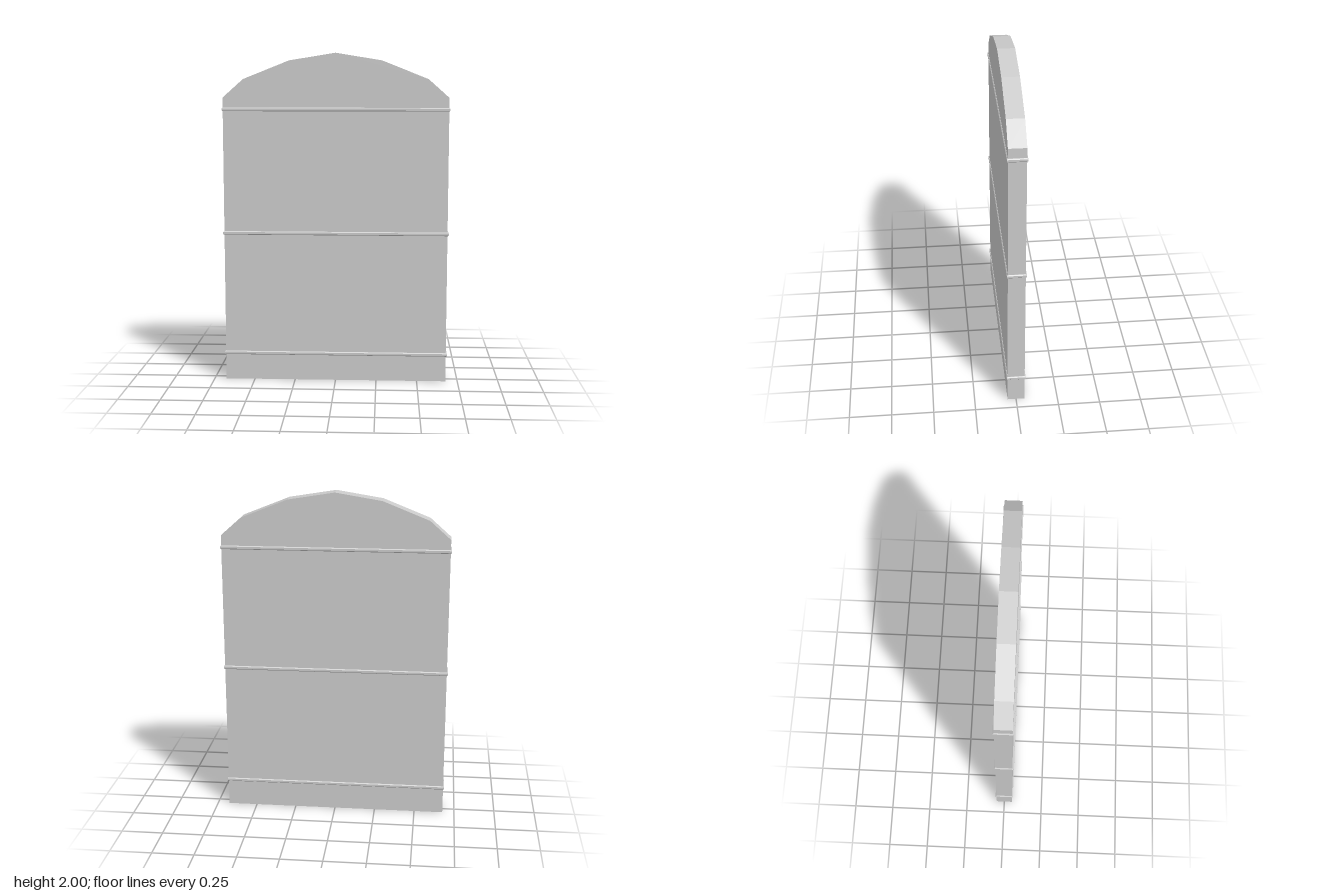
import * as THREE from 'three';

const material = new THREE.MeshStandardMaterial({ color: 0xcccccc, flatShading: true });

// Extrude an outline and centre it along its depth
function slab(points, options) {
  const shape = new THREE.Shape(points.map(([x, y]) => new THREE.Vector2(x, y)));
  const { depth } = options;
  return new THREE.ExtrudeGeometry(shape, { bevelEnabled: false, ...options }).translate(0, 0, -depth / 2);
}

export function createModel() {
  const group = new THREE.Group();
  group.name = 'archedPanel';

  // Flat panel with a faceted arched top
  const half = [[0.677, 0], [0.677, 1.735], [0.553, 1.845], [0.277, 1.955]];
  const mirrored = half.map(([x, y]) => [-x, y]).reverse();
  const panel = new THREE.Mesh(slab([...half, [0, 2], ...mirrored], { depth: 0.102 }), material);
  panel.name = 'panel';
  group.add(panel);

  // Thin chamfered bands wrapped around the panel
  const w = 0.679, d = 0.052;
  const bandGeometry = slab([[-w, -d], [w, -d], [w, d], [-w, d]], {
    depth: 0.012, bevelEnabled: true, bevelSegments: 1, bevelSize: 0.005, bevelThickness: 0.005,
  }).rotateX(Math.PI / 2);
  ['lowerBand', 'middleBand', 'upperBand'].forEach((name, i) => {
    const band = new THREE.Mesh(bandGeometry, material);
    band.name = name;
    band.position.y = 0.167 + i * 0.749;
    group.add(band);
  });

  return group;
}
